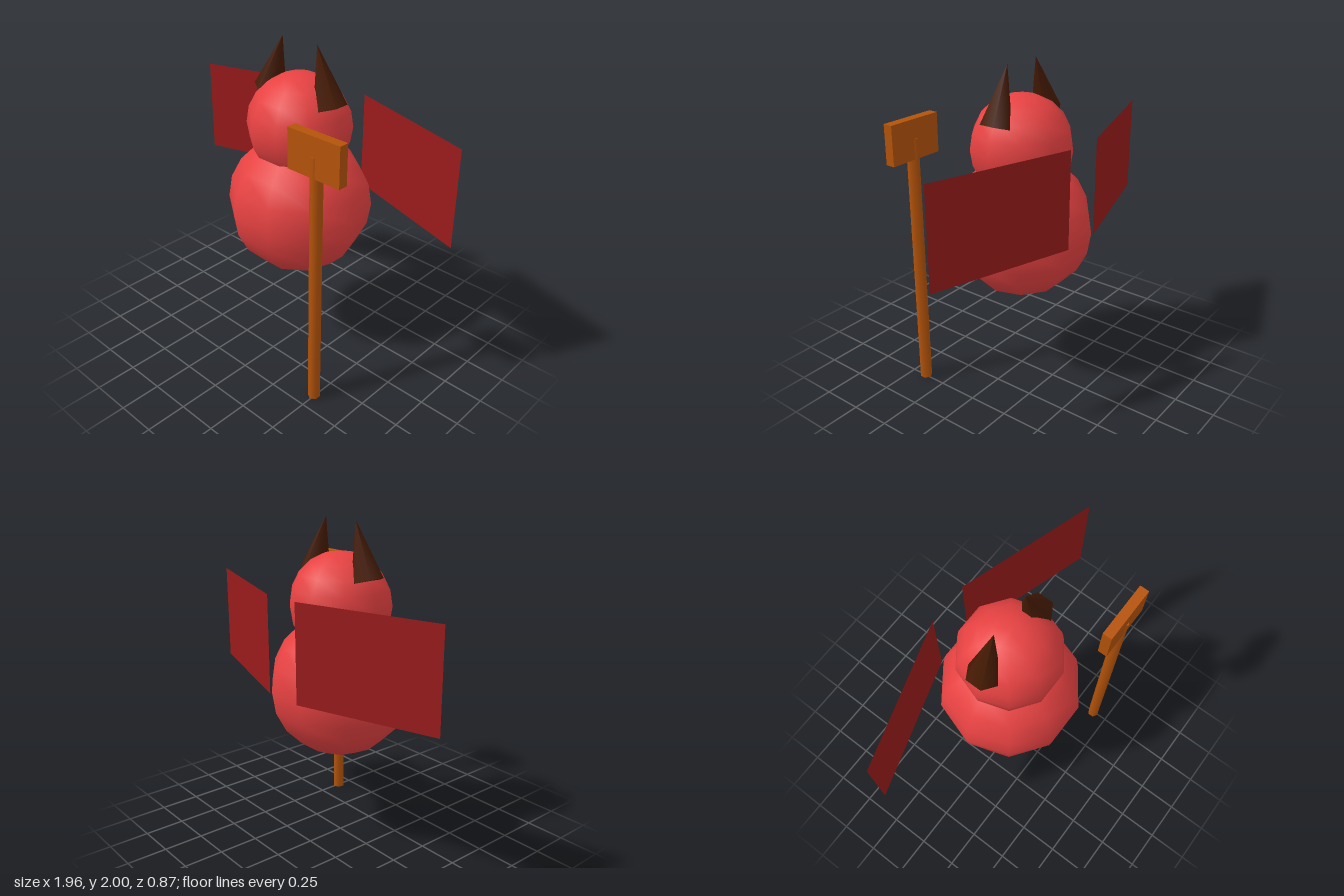
import * as THREE from 'three';

const material = (name, color, side = THREE.FrontSide) => {
  const m = new THREE.MeshStandardMaterial({ color, side });
  m.name = name;
  return m;
};

export function createModel() {
  const red = material('red skin', 0xef4444);
  const darkRed = material('dark red wing', 0x991b1b, THREE.DoubleSide);
  const brown = material('dark brown horn', 0x451a03);
  const wood = material('orange wood', 0xb45309);

  const model = new THREE.Group();
  model.name = 'hornedCreature';

  const add = (name, geometry, mat, x, y, z, parent = model) => {
    const mesh = new THREE.Mesh(geometry, mat);
    mesh.name = name;
    mesh.position.set(x, y, z);
    parent.add(mesh);
    return mesh;
  };

  // Body and head: coarse, smooth-shaded spheres
  add('body', new THREE.SphereGeometry(0.437, 10, 10), red, 0, 1, 0);
  add('head', new THREE.SphereGeometry(0.312, 10, 10), red, 0, 1.5, 0);

  // Horns lean inwards, wings sweep forwards towards their tips
  for (const [label, s] of [['left', 1], ['right', -1]]) {
    const horn = add(label + 'Horn', new THREE.ConeGeometry(0.099, 0.35, 6), brown, s * 0.182, 1.833, 0);
    horn.rotation.z = s * 0.3;

    const wing = add(label + 'Wing', new THREE.PlaneGeometry(0.892, 0.595), darkRed, s * 0.555, 1.297, -0.3);
    wing.rotation.y = -s * 0.3;
  }

  // Mallet standing beside the body
  const mallet = new THREE.Group();
  mallet.name = 'mallet';
  mallet.position.set(0.495, 0, 0.397);
  model.add(mallet);
  add('malletHandle', new THREE.CylinderGeometry(0.037, 0.037, 1.595, 6), wood, 0, 0.7975, 0, mallet);
  add('malletHead', new THREE.BoxGeometry(0.354, 0.235, 0.058), wood, 0, 1.593, 0, mallet);

  return model;
}
